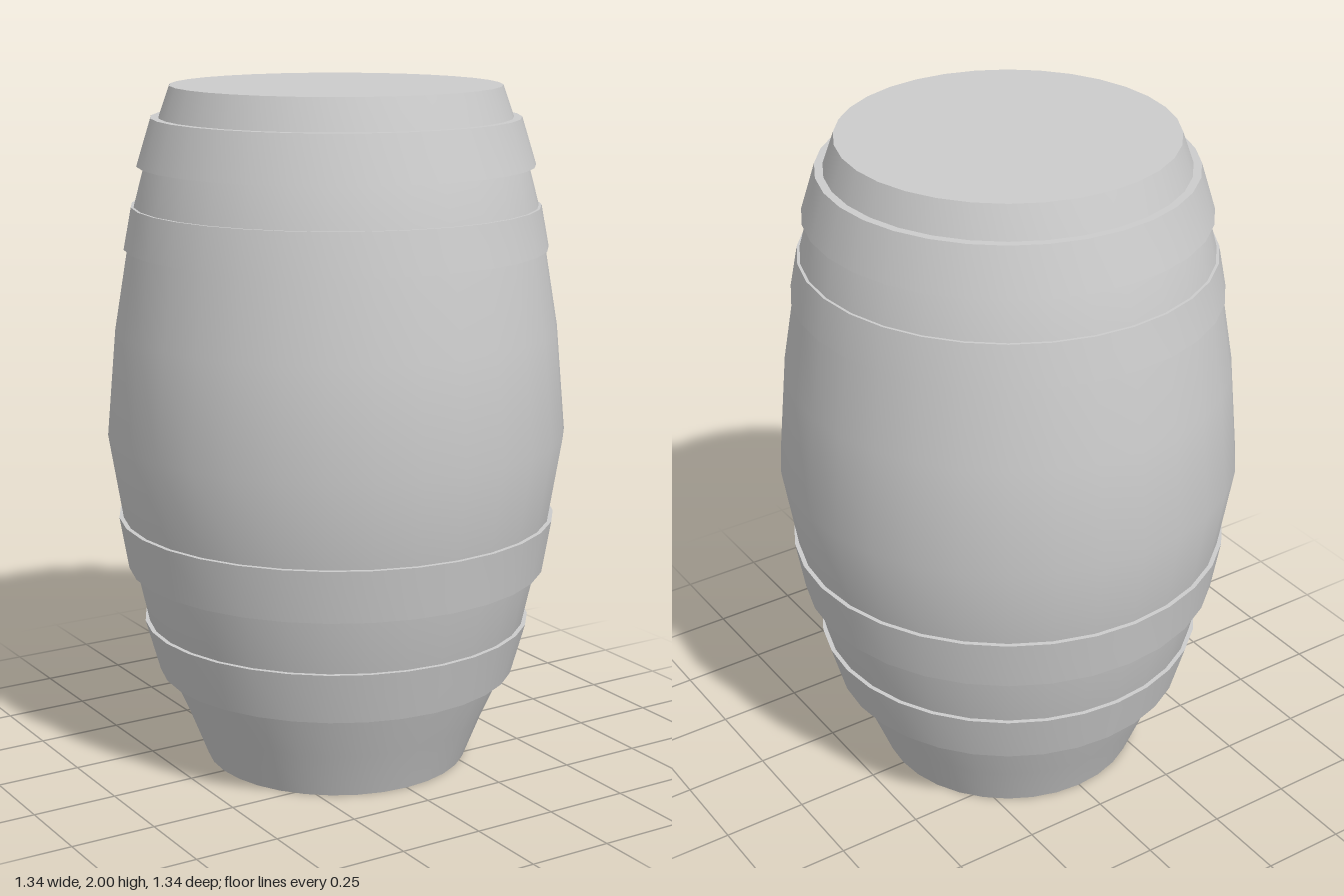
import * as THREE from 'three';
import { toCreasedNormals } from 'three/addons/utils/BufferGeometryUtils.js';

const SIDES = 32;
const material = new THREE.MeshStandardMaterial({ color: 0xcccccc });

// Turn a [radius, height] profile, listed bottom to top, around the y axis.
function turned(name, profile) {
  const points = profile.map(([r, y]) => new THREE.Vector2(r, y));
  const geometry = toCreasedNormals(new THREE.LatheGeometry(points, SIDES), 0.6);
  const mesh = new THREE.Mesh(geometry, material);
  mesh.name = name;
  return mesh;
}

// Hoop with a slanted outer face, its inner edge sunk into the barrel wall.
function hoop(name, y0, r0, y1, r1) {
  const sunk = 0.05;
  return turned(name, [[r0 - sunk, y0], [r0, y0], [r1, y1], [r1 - sunk, y1]]);
}

export function createModel() {
  const barrel = new THREE.Group();
  barrel.name = 'barrel';

  // Bulging body, closed by flat ends
  barrel.add(turned('body', [
    [0, 0], [0.39, 0], [0.445, 0.14], [0.507, 0.28], [0.56, 0.43], [0.597, 0.6],
    [0.63, 0.75], [0.67, 1], [0.642, 1.31], [0.605, 1.53], [0.582, 1.66],
    [0.55, 1.78], [0.507, 1.91], [0.475, 2], [0, 2],
  ]));

  // Two hoops near each end
  barrel.add(
    hoop('lowestHoop', 0.275, 0.53, 0.43, 0.573),
    hoop('lowerHoop', 0.595, 0.617, 0.75, 0.643),
    hoop('upperHoop', 1.54, 0.613, 1.66, 0.59),
    hoop('topHoop', 1.775, 0.572, 1.91, 0.53),
  );
  return barrel;
}
